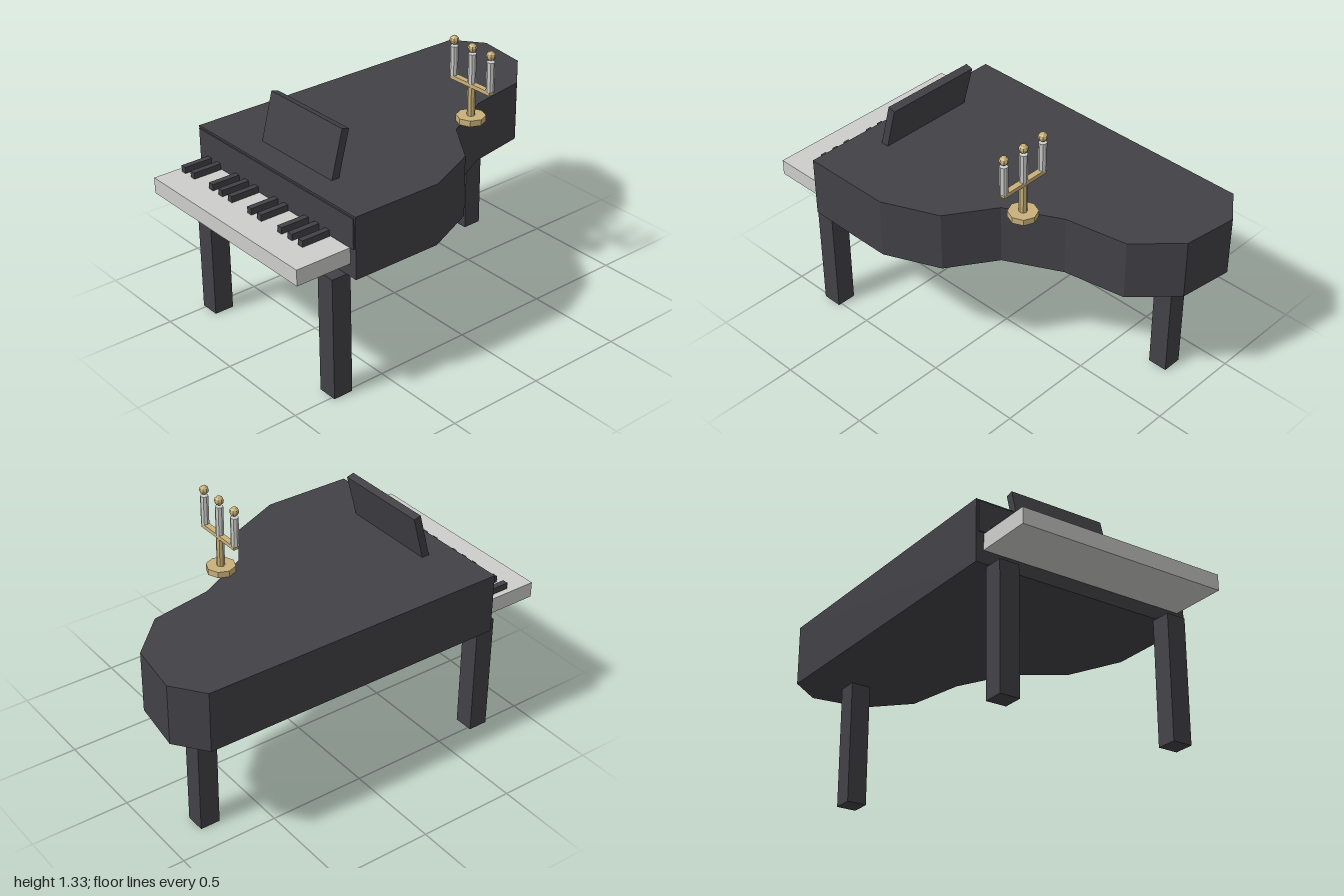
import * as THREE from 'three';

const mat = (name, color) => {
  const m = new THREE.MeshStandardMaterial({ color });
  m.name = name;
  return m;
};

export function createModel() {
  const black = mat('black lacquer', 0x424146);
  const ivory = mat('ivory', 0xcdcdcb);
  const brass = mat('brass', 0xc9b17a);
  const piano = new THREE.Group();
  piano.name = 'grandPiano';

  const add = (parent, name, geometry, material, x, y, z) => {
    const mesh = new THREE.Mesh(geometry, material);
    mesh.name = name;
    mesh.position.set(x, y, z);
    parent.add(mesh);
    return mesh;
  };
  const box = (w, h, d) => new THREE.BoxGeometry(w, h, d);
  // Faceted solids get one normal per face
  const faceted = (g) => {
    const flat = g.toNonIndexed();
    flat.computeVertexNormals();
    return flat;
  };

  // Case: curved plan outline (x, z) extruded downwards from the lid
  const outline = [
    [-0.585, 0.711], [0.583, 0.711], [0.583, 0.245], [0.463, -0.03], [0.23, -0.185],
    [0.09, -0.457], [0.035, -0.77], [-0.157, -0.963], [-0.432, -1], [-0.585, -0.885],
  ].map(([x, z]) => new THREE.Vector2(x, z));
  const caseGeometry = new THREE.ExtrudeGeometry(new THREE.Shape(outline), { depth: 0.31, bevelEnabled: false });
  caseGeometry.rotateX(Math.PI / 2);
  add(piano, 'case', caseGeometry, black, 0, 0.935, 0);
  add(piano, 'fallboard', box(1.15, 0.15, 0.01), black, 0, 0.85, 0.713);

  // Keyboard with black keys in groups of two and three
  add(piano, 'keyboard', box(1.09, 0.08, 0.3), ivory, 0, 0.73, 0.85);
  for (const step of [0, 1, 3, 4, 5, 7, 8, 10, 11, 12]) {
    add(piano, 'blackKey', box(0.03, 0.032, 0.16), black, -0.5 + step * 0.0747, 0.786, 0.786);
  }

  // Legs
  for (const [name, x, z] of [['leftFrontLeg', 0.466, 0.74], ['rightFrontLeg', -0.466, 0.74], ['backLeg', -0.313, -0.767]]) {
    add(piano, name, box(0.102, 0.625, 0.102), black, x, 0.3125, z);
  }

  // Music stand, leaning back
  add(piano, 'musicStand', box(0.518, 0.26, 0.04), black, 0, 1.04, 0.533).rotation.x = -0.26;

  // Three-armed candelabra
  const candelabra = new THREE.Group();
  candelabra.name = 'candelabra';
  candelabra.position.set(0.206, 0.935, -0.3);
  piano.add(candelabra);
  const rod = (r, h, sides) => faceted(new THREE.CylinderGeometry(r, r, h, sides));
  add(candelabra, 'base', rod(0.072, 0.031, 8), brass, 0, 0.0155, 0);
  add(candelabra, 'stem', rod(0.02, 0.16, 8), brass, 0, 0.1, 0);
  add(candelabra, 'arm', box(0.27, 0.02, 0.03), brass, 0, 0.188, 0);
  for (const x of [-0.125, 0, 0.125]) {
    add(candelabra, 'candle', rod(0.02, 0.15, 8), ivory, x, 0.27, 0);
    add(candelabra, 'flame', faceted(new THREE.SphereGeometry(0.023, 8, 6)), brass, x, 0.375, 0);
  }

  return piano;
}
